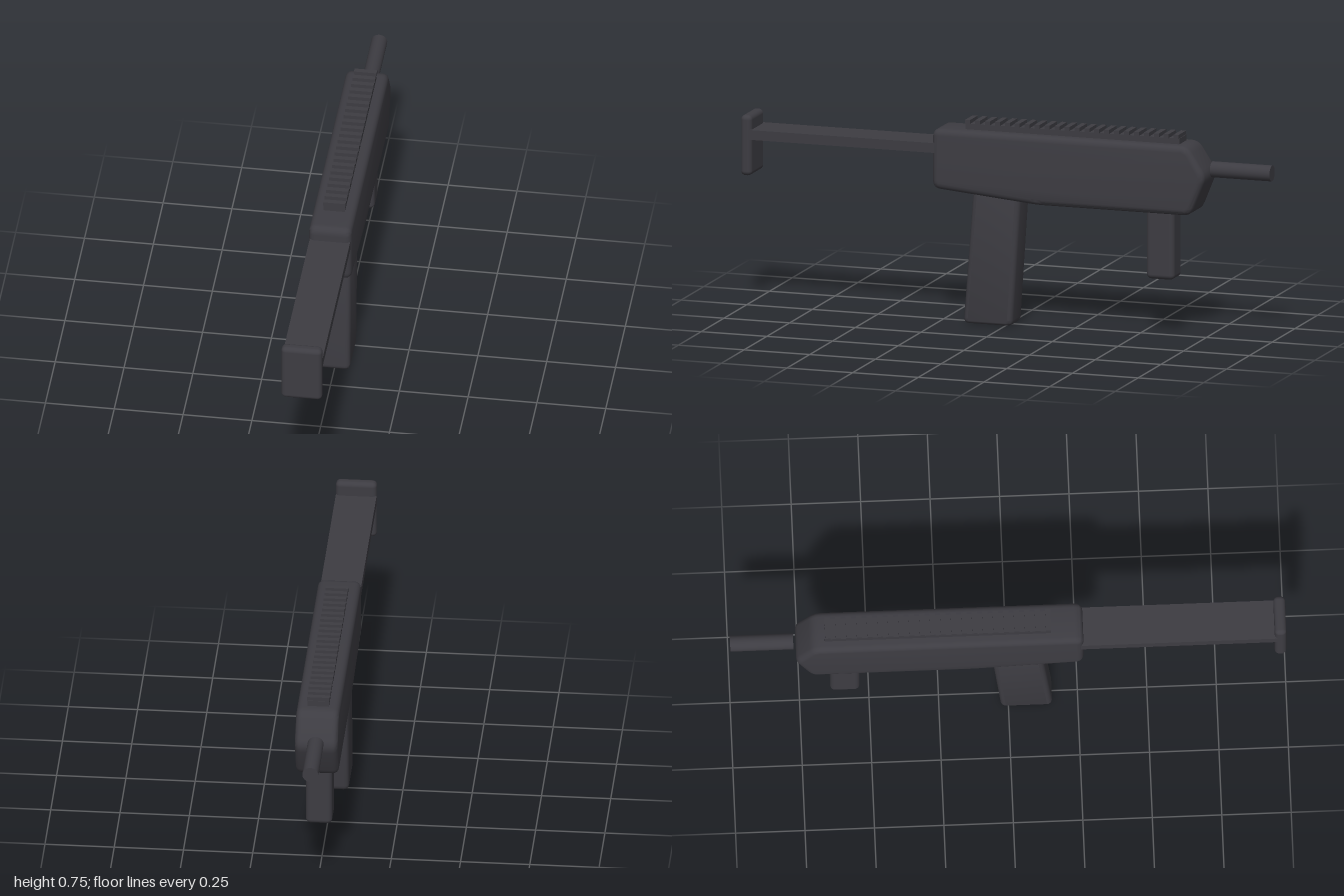
import * as THREE from 'three';
import { toCreasedNormals } from 'three/addons/utils/BufferGeometryUtils.js';
import { RoundedBoxGeometry } from 'three/addons/geometries/RoundedBoxGeometry.js';

// Side outline of [z, y] corners with softened corners, extruded across x with a round bevel
function roundedSlab(corners, width, radius, bevel) {
  const pts = corners.map(([z, y]) => new THREE.Vector2(-z, y));
  const shape = new THREE.Shape();
  pts.forEach((p, i) => {
    const prev = pts[(i + pts.length - 1) % pts.length];
    const next = pts[(i + 1) % pts.length];
    const a = p.clone().add(prev.clone().sub(p).setLength(radius));
    const b = p.clone().add(next.clone().sub(p).setLength(radius));
    if (i === 0) shape.moveTo(a.x, a.y);
    else shape.lineTo(a.x, a.y);
    shape.quadraticCurveTo(p.x, p.y, b.x, b.y);
  });
  shape.closePath();
  const depth = width - 2 * bevel;
  const geometry = new THREE.ExtrudeGeometry(shape, {
    depth, curveSegments: 5, bevelEnabled: true, bevelSegments: 4,
    bevelSize: bevel, bevelThickness: bevel, bevelOffset: -bevel,
  });
  geometry.translate(0, 0, -depth / 2);
  geometry.rotateY(Math.PI / 2);
  return toCreasedNormals(geometry, 0.6);
}

export function createModel() {
  const model = new THREE.Group();
  const darkGrey = new THREE.MeshStandardMaterial({ color: 0x3d3c42 });
  darkGrey.name = 'darkGrey';

  const add = (name, geometry, x = 0, y = 0, z = 0, parent = model) => {
    const mesh = new THREE.Mesh(geometry, darkGrey);
    mesh.name = name;
    mesh.position.set(x, y, z);
    parent.add(mesh);
    return mesh;
  };

  // Main housing with sloped belly and pointed nose
  add('body', roundedSlab([
    [0.27, 0.711], [0.27, 0.492], [-0.13, 0.456],
    [-0.712, 0.456], [-0.771, 0.602], [-0.7, 0.711],
  ], 0.155, 0.03, 0.022));

  // Slanted rear grip and short front grip, both sunk into the body
  add('rearGrip', roundedSlab([
    [0.159, 0], [-0.027, 0], [-0.062, 0.53], [0.119, 0.53],
  ], 0.113, 0.022, 0.018));
  add('frontGrip', new RoundedBoxGeometry(0.095, 0.31, 0.106, 4, 0.018), 0, 0.365, -0.588);

  // Flat stock bar and end plate
  add('stockBar', new THREE.BoxGeometry(0.147, 0.036, 0.76), 0, 0.641, 0.6);
  add('stockPlate', new RoundedBoxGeometry(0.148, 0.222, 0.042, 4, 0.017), 0, 0.6, 0.979);

  // Barrel
  const barrel = new THREE.CylinderGeometry(0.029, 0.029, 0.227, 24);
  barrel.rotateX(Math.PI / 2);
  add('barrel', barrel, 0, 0.62, -0.8865);

  // Top rail with evenly spaced teeth
  const rail = new THREE.Group();
  rail.name = 'topRail';
  model.add(rail);
  add('railBase', new THREE.BoxGeometry(0.077, 0.034, 0.815), 0, 0.715, -0.253, rail);
  const tooth = new THREE.BoxGeometry(0.082, 0.015, 0.019);
  const teeth = 22;
  for (let i = 0; i < teeth; i++) {
    const z = 0.145 - (i / (teeth - 1)) * 0.794;
    add('railTooth', tooth, 0, 0.7385, z, rail);
  }
  return model;
}
